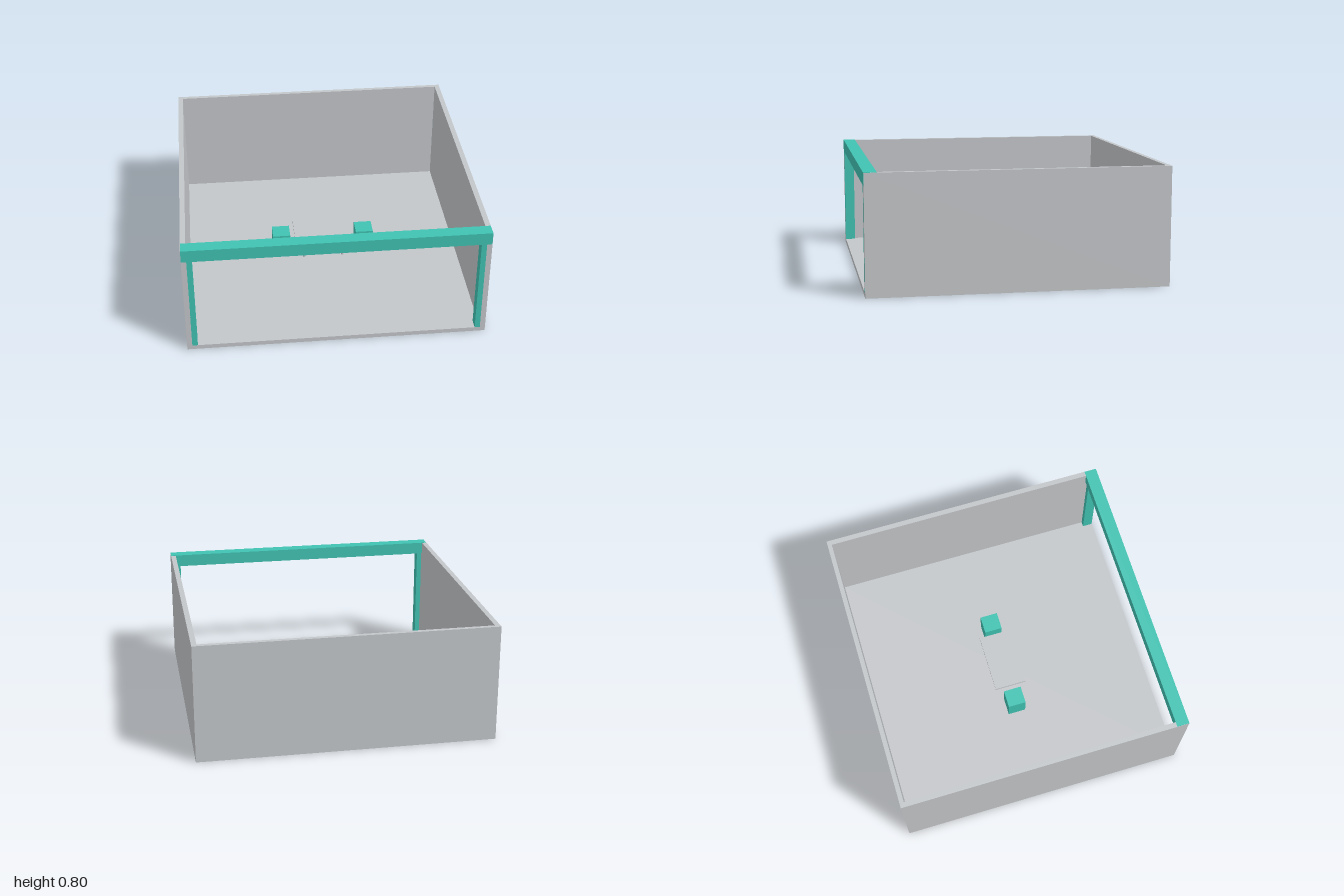
import * as THREE from 'three';

export function createModel() {
  const model = new THREE.Group();
  const mat = (name, color) => {
    const m = new THREE.MeshStandardMaterial({ color });
    m.name = name;
    return m;
  };
  const grey = mat('light grey', 0xc3c6c9);
  const teal = mat('teal', 0x40c2b2);

  // Box given by its minimum and maximum corners
  const box = (name, material, [x0, y0, z0], [x1, y1, z1], parent = model) => {
    const mesh = new THREE.Mesh(new THREE.BoxGeometry(x1 - x0, y1 - y0, z1 - z0), material);
    mesh.position.set((x0 + x1) / 2, (y0 + y1) / 2, (z0 + z1) / 2);
    mesh.name = name;
    parent.add(mesh);
    return mesh;
  };

  // Floor slab, set between the walls
  box('floor', grey, [-0.965, 0, -0.97], [0.965, 0.03, 1]);

  // Back and side walls: one U-shaped plan raised to full height
  const plan = new THREE.Shape([
    [-1, -1], [-0.965, -1], [-0.965, 0.97], [0.965, 0.97],
    [0.965, -1], [1, -1], [1, 1], [-1, 1],
  ].map(([x, y]) => new THREE.Vector2(x, y)));
  const wallGeometry = new THREE.ExtrudeGeometry(plan, { depth: 0.8, bevelEnabled: false });
  wallGeometry.rotateX(-Math.PI / 2);
  const walls = new THREE.Mesh(wallGeometry, grey);
  walls.name = 'walls';
  model.add(walls);

  // Entrance frame: lintel a hair proud of the walls, posts just inside them
  const frame = new THREE.Group();
  frame.name = 'entranceFrame';
  model.add(frame);
  box('lintel', teal, [-0.999, 0.715, 0.915], [0.999, 0.801, 1.001], frame);
  box('leftPost', teal, [0.93, 0.03, 0.93], [0.966, 0.716, 1], frame);
  box('rightPost', teal, [-0.966, 0.03, 0.93], [-0.93, 0.716, 1], frame);

  // Table with four slim legs
  const table = new THREE.Group();
  table.name = 'table';
  model.add(table);
  box('tableTop', grey, [-0.208, 0.19, -0.118], [0.205, 0.206, 0.107], table);
  const legGeometry = new THREE.CylinderGeometry(0.009, 0.009, 0.162, 16);
  for (const x of [-0.142, 0.138]) {
    for (const z of [-0.09, 0.08]) {
      const leg = new THREE.Mesh(legGeometry, grey);
      leg.position.set(x, 0.11, z);
      leg.name = 'tableLeg';
      table.add(leg);
    }
  }

  // Cube seats at either end of the table
  box('rightSeat', teal, [-0.364, 0.03, -0.066], [-0.24, 0.206, 0.06]);
  box('leftSeat', teal, [0.236, 0.03, -0.066], [0.36, 0.206, 0.06]);

  return model;
}
